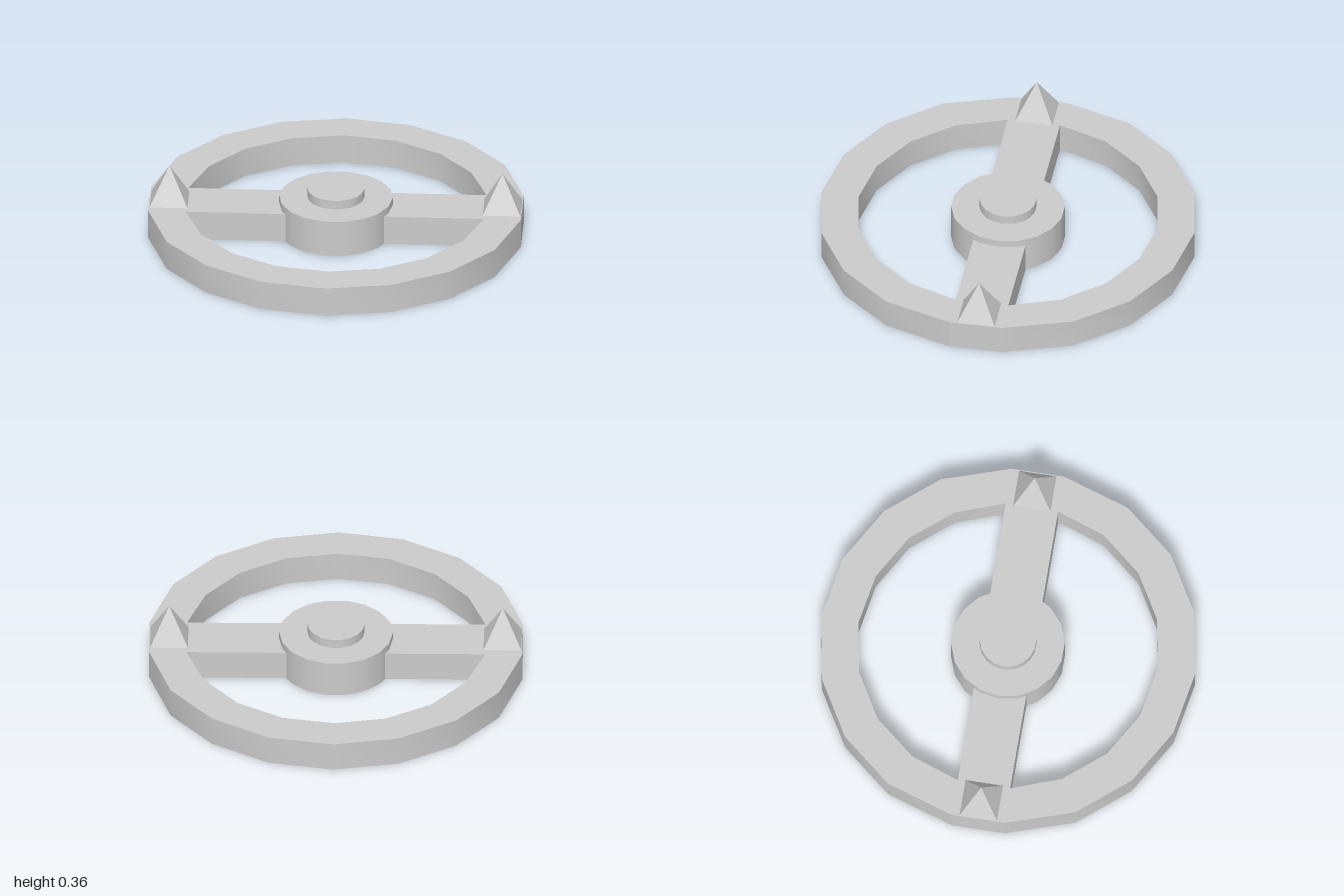
import * as THREE from 'three';
import { toCreasedNormals } from 'three/addons/utils/BufferGeometryUtils.js';

const SIDES = 18, STEP = (Math.PI * 2) / SIDES;
const WHEEL_HEIGHT = 0.16;
const BAR_HALF_WIDTH = 0.14;

// Arc over one half of the rim, its two end points resting on the side of the crossbar
function halfArc(radius) {
  const points = [];
  for (let i = -4; i <= 4; i++) {
    const y = Math.abs(i) === 4 ? BAR_HALF_WIDTH : radius * Math.cos(i * STEP);
    points.push(new THREE.Vector2(radius * Math.sin(i * STEP), y));
  }
  return points;
}

export function createModel() {
  const group = new THREE.Group();
  const smooth = new THREE.MeshStandardMaterial({ color: 0xcccccc });
  const faceted = new THREE.MeshStandardMaterial({ color: 0xcccccc, flatShading: true });

  const add = (name, geometry, material, x = 0, y = 0) => {
    const mesh = new THREE.Mesh(geometry, material);
    mesh.name = name;
    mesh.position.set(x, y, 0);
    group.add(mesh);
    return mesh;
  };

  // Two rim halves, one on each side of the crossbar
  const outline = new THREE.Shape([...halfArc(1), ...halfArc(0.8).reverse()]);
  const extruded = new THREE.ExtrudeGeometry(outline, { depth: WHEEL_HEIGHT, bevelEnabled: false });
  const rim = toCreasedNormals(extruded.rotateX(-Math.PI / 2), Math.PI / 6);
  add('rearRim', rim, smooth);
  add('frontRim', rim, smooth).rotation.y = Math.PI;

  // Crossbar reaching the outer faces of the rim
  const barLength = 2 * Math.sin(4 * STEP);
  const bar = new THREE.BoxGeometry(barLength, WHEEL_HEIGHT, 2 * BAR_HALF_WIDTH);
  add('crossbar', bar, smooth, 0, WHEEL_HEIGHT / 2);

  // Hub and its raised cap, with a corner on the x axis
  const disc = (radius, height) =>
    new THREE.CylinderGeometry(radius, radius, height, SIDES).rotateY(Math.PI / 2);
  add('hub', disc(0.3, 0.2), smooth, 0, 0.1);
  add('hubCap', disc(0.15, 0.05), smooth, 0, 0.225);

  // Square pyramid spikes at the ends of the crossbar
  for (const side of [1, -1]) {
    const spike = new THREE.ConeGeometry(0.1 * Math.SQRT2, 0.2, 4).rotateY(Math.PI / 4);
    add(side > 0 ? 'leftSpike' : 'rightSpike', spike, faceted, side * 0.88, WHEEL_HEIGHT + 0.1);
  }

  return group;
}
